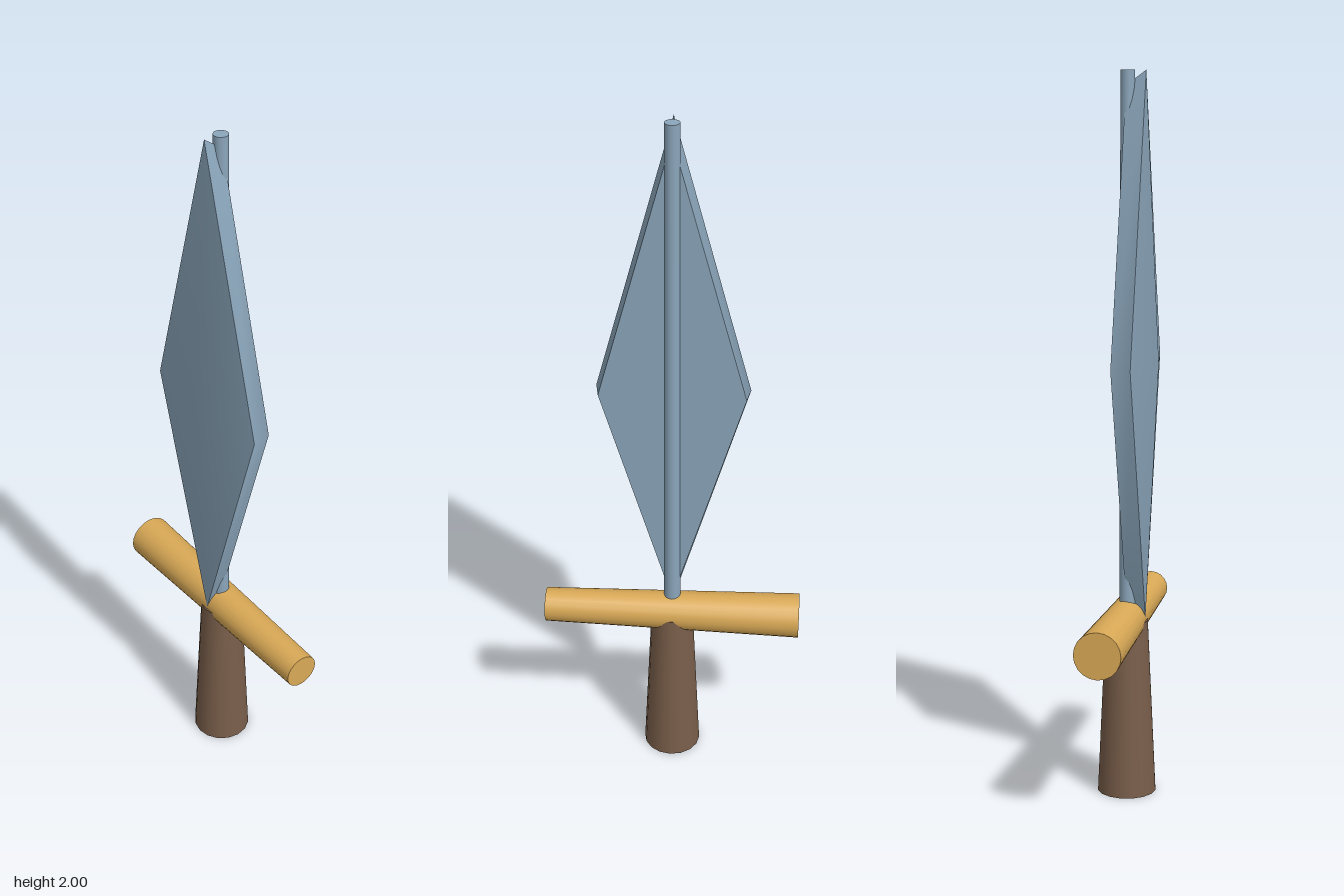
import * as THREE from 'three';
import { mergeVertices, toCreasedNormals } from 'three/addons/utils/BufferGeometryUtils.js';

const paint = (color) => new THREE.MeshStandardMaterial({ color });

function addMesh(group, name, geometry, material) {
  const mesh = new THREE.Mesh(geometry, material);
  mesh.name = name;
  group.add(mesh);
  return mesh;
}

// Diamond outline, counter-clockwise seen from the front
const diamond = (halfWidth, top, bottom, z) => [
  [0, top, z], [-halfWidth, 1.22, z], [0, bottom, z], [halfWidth, 1.22, z],
];

// Faceted blade: raised front, bevelled sides and a flat back
function bladeGeometry() {
  const front = diamond(0.21, 2, 0.5, 0.05);
  const back = diamond(0.2, 1.96, 0.54, -0.005);
  const peak = [0, 1.22, 0.086];
  const backCentre = [0, 1.22, -0.005];
  const points = [];
  for (let i = 0; i < 4; i++) {
    const j = (i + 1) % 4;
    points.push(peak, front[i], front[j]);
    points.push(front[i], back[i], back[j], front[i], back[j], front[j]);
    points.push(backCentre, back[j], back[i]);
  }
  const geometry = new THREE.BufferGeometry();
  geometry.setAttribute('position', new THREE.Float32BufferAttribute(points.flat(), 3));
  return toCreasedNormals(mergeVertices(geometry), 0.7);
}

export function createModel() {
  const group = new THREE.Group();
  const steel = paint(0x8ba6bb);

  addMesh(group, 'blade', bladeGeometry(), steel);

  // Round spine along the back of the blade
  const spine = addMesh(group, 'bladeSpine', new THREE.CylinderGeometry(0.02, 0.024, 1.5, 16), steel);
  spine.position.y = 1.25;

  // Crossguard, thicker towards -x
  const guard = addMesh(group, 'crossguard', new THREE.CylinderGeometry(0.064, 0.049, 0.736, 20), paint(0xd9a956));
  guard.rotation.z = Math.PI / 2;
  guard.position.set(0, 0.496, -0.005);

  // Tapered grip
  const grip = addMesh(group, 'grip', new THREE.CylinderGeometry(0.06, 0.083, 0.495, 16), paint(0x795e4a));
  grip.position.set(0, 0.2475, -0.003);

  return group;
}
